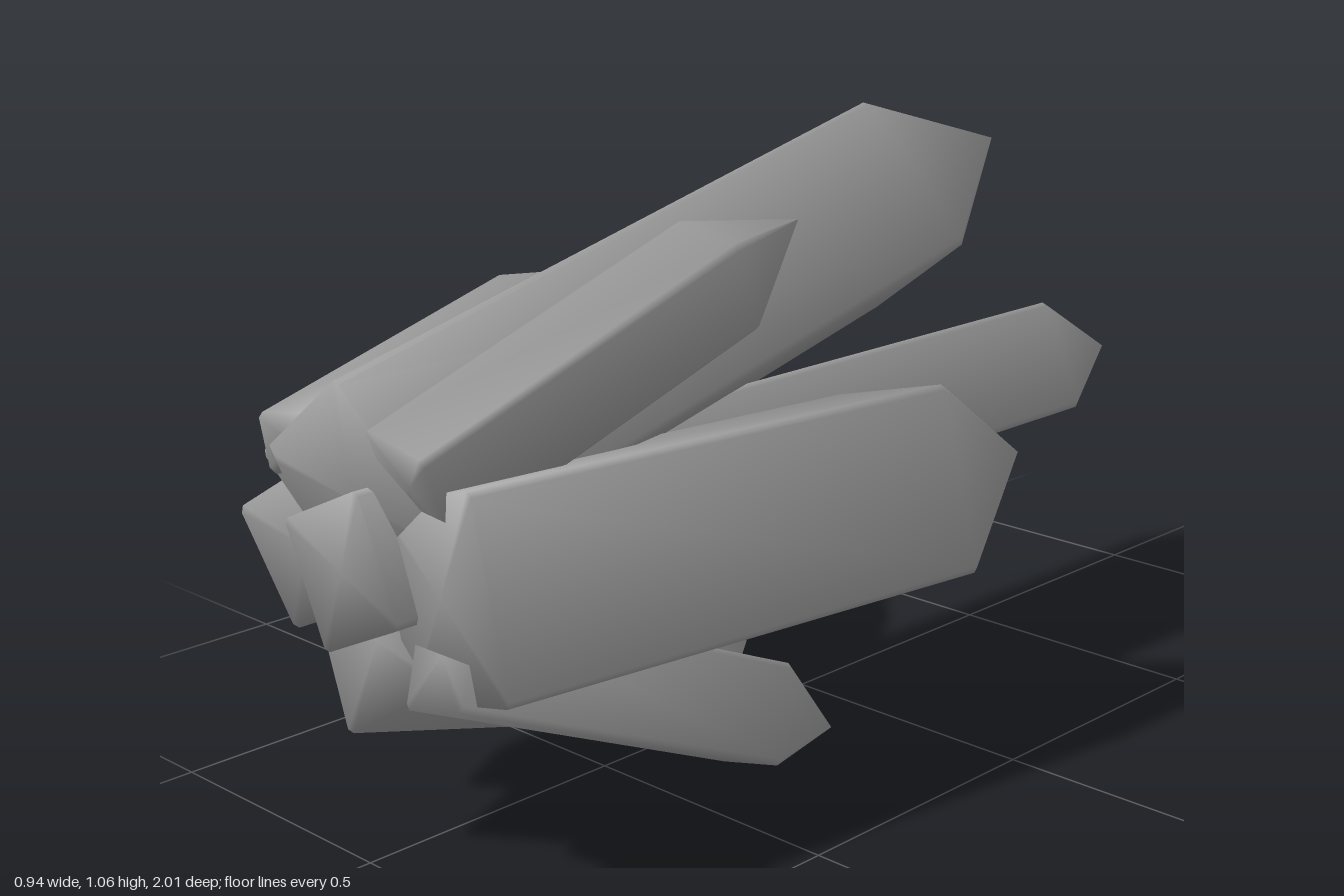
import * as THREE from 'three';
import { toCreasedNormals } from 'three/addons/utils/BufferGeometryUtils.js';

// Each crystal: base centre, shoulder centre, tip, and the front-plane offsets of two adjacent corners
const CRYSTALS = [
  ['centralCrystal', [-0.05, 0.473, 0.99], [-0.053, 0.471, -0.73], [-0.053, 0.465, -1], [0.05, 0.145], [0.141, -0.057]],
  ['upperCrystal', [-0.05, 0.58, 0.955], [-0.0925, 0.86, -0.29], [-0.105, 0.945, -0.67], [0.028, 0.21], [0.217, -0.04]],
  ['leftCrystal', [0.155, 0.473, 0.96], [0.285, 0.475, 0.045], [0.325, 0.478, -0.22], [0.097, 0.195], [0.186, -0.115]],
  ['rightCrystal', [-0.2, 0.472, 0.95], [-0.325, 0.415, 0.045], [-0.365, 0.397, -0.215], [-0.148, 0.036], [-0.02, -0.144]],
  ['lowerCrystal', [-0.02, 0.358, 0.95], [-0.07, 0.148, 0.265], [-0.085, 0.087, 0.06], [-0.02, -0.149], [-0.158, 0.034]],
  ['lowerLeftCrystal', [0.153, 0.384, 0.96], [0.258, 0.144, 0.39], [0.287, 0.077, 0.235], [-0.055, -0.095], [0.095, -0.054]],
  ['upperLeftCrystal', [0.107, 0.64, 0.97], [0.1875, 0.8825, 0.4], [0.21, 0.953, 0.235], [-0.069, 0.085], [0.084, 0.065]],
  ['upperRightCrystal', [-0.195, 0.647, 0.965], [-0.335, 0.747, 0.36], [-0.375, 0.775, 0.19], [-0.057, 0.045], [0.057, 0.06]],
];

const CHAMFER = 0.01;

function crystalGeometry(baseArr, shoulderArr, tipArr, uArr, vArr) {
  const base = new THREE.Vector3(...baseArr);
  const shoulder = new THREE.Vector3(...shoulderArr);
  const axis = shoulder.clone().sub(base).normalize();

  // Offsets lie in the plane square to the axis
  const lift = ([x, y]) => new THREE.Vector3(x, y, -(x * axis.x + y * axis.y) / axis.z);
  const u = lift(uArr), v = lift(vArr);
  if (uArr[0] * vArr[1] - uArr[1] * vArr[0] < 0) v.negate();

  // Four-sided section with narrowly cut corners
  const corners = [u, v, u.clone().negate(), v.clone().negate()];
  const cut = (from, to) => from.clone().lerp(to, CHAMFER / from.distanceTo(to));
  const section = corners.flatMap((c, i) => [
    cut(c, corners[(i + 3) % 4]),
    cut(c, corners[(i + 1) % 4]),
  ]);
  const n = section.length;

  const points = [base];
  for (const centre of [base, shoulder]) {
    for (const p of section) points.push(centre.clone().add(p));
  }
  points.push(new THREE.Vector3(...tipArr));

  // Flat base, straight shaft, pointed end
  const index = [];
  const tip = points.length - 1;
  for (let i = 0; i < n; i++) {
    const j = (i + 1) % n;
    const a = 1 + i, b = 1 + j;
    index.push(0, a, b);
    index.push(a, a + n, b, b, a + n, b + n);
    index.push(a + n, tip, b + n);
  }

  // The crease angle is wide, so shading flows softly over the base edges
  const geometry = new THREE.BufferGeometry().setFromPoints(points);
  geometry.setIndex(index);
  return toCreasedNormals(geometry, 1.7);
}

export function createModel() {
  const group = new THREE.Group();
  group.name = 'crystalCluster';
  const material = new THREE.MeshStandardMaterial({ color: 0x969696 });
  for (const [name, ...shape] of CRYSTALS) {
    const mesh = new THREE.Mesh(crystalGeometry(...shape), material);
    mesh.name = name;
    group.add(mesh);
  }
  return group;
}
